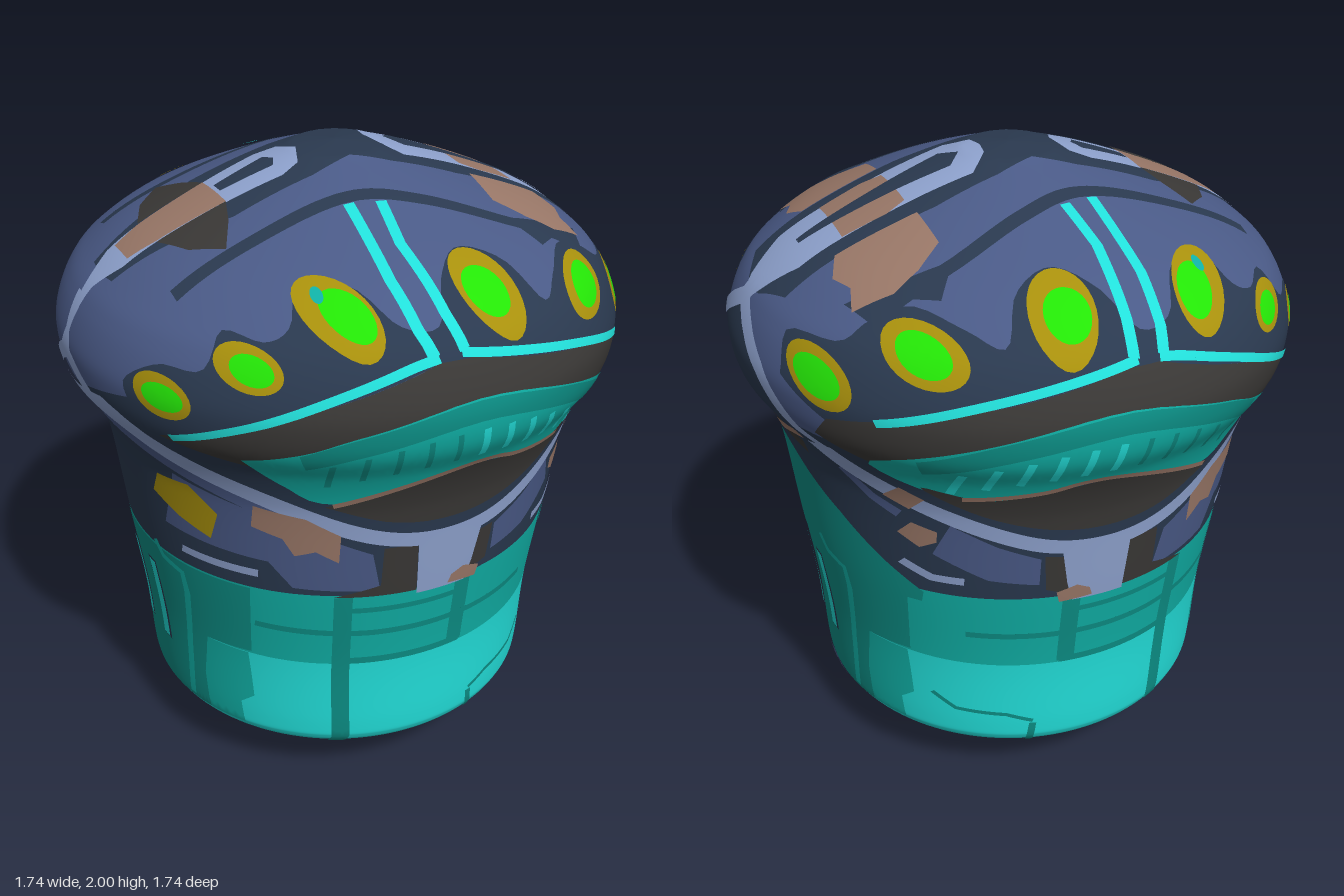
import * as THREE from 'three';

const mat = (name, color) => Object.assign(new THREE.MeshStandardMaterial({ color }), { name });
const M = {
  cyan: mat('brightCyan', 0x22dfda), teal: mat('teal', 0x10b0a6), deep: mat('deepTeal', 0x0c8f86),
  hull: mat('slateBlue', 0x4a5a87), navy: mat('darkNavy', 0x2a394f), pale: mat('paleBlue', 0x8fa3cf),
  brown: mat('brown', 0x9a7868), coal: mat('charcoal', 0x3a3836), olive: mat('olive', 0xa8900c), green: mat('green', 0x24e606),
};

// Outline of the turned body, from foot to crown: radius, height
const outline = [[0.37, 0], [0.45, 0.07], [0.53, 0.14], [0.6, 0.2], [0.634, 0.24], [0.645, 0.3], [0.66, 0.55], [0.7, 0.85], [0.73, 1.1],
  [0.75, 1.2], [0.79, 1.3], [0.846, 1.39], [0.864, 1.47], [0.858, 1.54], [0.82, 1.63], [0.76, 1.7], [0.62, 1.795], [0.38, 1.9],
  [0.16, 1.978], [0.11, 1.995], [0, 2]].map(p => new THREE.Vector2(...p));
const profile = new THREE.SplineCurve(outline).getPoints(200);

const radiusAt = y => {
  const i = profile.findIndex(p => p.y >= y);
  if (i < 0) return 0;
  if (i === 0) return profile[0].x;
  const a = profile[i - 1], b = profile[i];
  return a.x + (b.x - a.x) * (y - a.y) / (b.y - a.y || 1);
};
const crown = profile.filter(p => p.y > 1.48);
const heightAt = r => {
  const i = crown.findIndex(p => p.x <= r);
  if (i <= 0) return crown[0].y;
  const a = crown[i - 1], b = crown[i];
  return a.y + (b.y - a.y) * (r - a.x) / (b.x - a.x || 1);
};

// Point and normal on the body, lifted by a small offset
function onBody(angle, y, r, lift) {
  const lo = Math.max(y - 0.012, 0), hi = Math.min(y + 0.012, 2);
  const n = new THREE.Vector3(Math.sin(angle), -(radiusAt(hi) - radiusAt(lo)) / (hi - lo), Math.cos(angle)).normalize();
  return { n, p: new THREE.Vector3(r * Math.sin(angle), y, r * Math.cos(angle)).addScaledVector(n, lift) };
}
const arc = (u, y) => Math.asin(THREE.MathUtils.clamp(u / radiusAt(y), -1, 1));
const aroundBody = (u, v, lift) => onBody(u, v, radiusAt(v), lift);
const overCrown = (u, v, lift) => { const r = Math.hypot(u, v); return onBody(Math.atan2(u, -v), heightAt(r), r, lift); };

// Each face turns drawn points into surface coordinates
const faces = {
  front: { to: ([x, y]) => [arc(x, y), y], wrap: aroundBody },
  right: { to: ([z, y]) => [Math.PI / 2 - arc(z, y), y], wrap: aroundBody },
  left: { to: ([z, y]) => [arc(z, y) - Math.PI / 2, y], wrap: aroundBody },
  top: { to: ([x, z]) => [x, -z], wrap: overCrown },
};

// Split long edges until the patch follows the curve
function refine(a, b, c, out) {
  const l = [a.distanceTo(b), b.distanceTo(c), c.distanceTo(a)], m = Math.max(...l);
  if (m < 0.04) return out.push(a, b, c);
  if (l[1] === m) [a, b, c] = [b, c, a];
  else if (l[2] === m) [a, b, c] = [c, a, b];
  const h = a.clone().add(b).multiplyScalar(0.5);
  refine(a, h, c, out);
  refine(h, b, c, out);
}

const ellipse = (x, y, rx, ry, tilt = 0) => new THREE.EllipseCurve(x, y, rx, ry, 0, Math.PI * 2, false, tilt)
  .getPoints(28).slice(0, -1).map(p => [p.x, p.y]);
const smooth = path => new THREE.SplineCurve(path.map(p => new THREE.Vector2(...p))).getPoints(path.length * 4).map(p => [p.x, p.y]);

// Ribbon outline of even width along a path
function ribbon(path, width) {
  const side = s => path.map((p, i) => {
    const a = path[Math.max(i - 1, 0)], b = path[Math.min(i + 1, path.length - 1)];
    const dx = b[0] - a[0], dy = b[1] - a[1], k = s * width / 2 / Math.hypot(dx, dy);
    return [p[0] - dy * k, p[1] + dx * k];
  });
  return [...side(1), ...side(-1).reverse()];
}

export function createModel() {
  const model = new THREE.Group();

  // Turned body in coloured rings
  const ring = (name, material, y0, y1) => {
    const pts = [new THREE.Vector2(radiusAt(y0), y0), ...profile.filter(p => p.y > y0 + 1e-4 && p.y < y1 - 1e-4), new THREE.Vector2(radiusAt(y1), y1)];
    const mesh = new THREE.Mesh(new THREE.LatheGeometry(pts, 128), material);
    mesh.name = name;
    model.add(mesh);
  };
  ring('footRing', M.navy, 0, 0.075);
  ring('lowerBody', M.cyan, 0.075, 0.56);
  ring('upperBody', M.teal, 0.56, 0.845);
  ring('collar', M.navy, 0.845, 1.38);
  ring('dome', M.hull, 1.38, 2);
  const base = new THREE.Mesh(new THREE.CircleGeometry(0.37, 96).rotateX(Math.PI / 2), M.cyan);
  base.name = 'base';
  model.add(base);

  // Painted patch, repeated on the other half in z
  const patch = (name, material, face, layer, points) => {
    const { to, wrap } = faces[face];
    const flat = new THREE.ShapeGeometry(new THREE.Shape(points.map(p => new THREE.Vector2(...to(p)))));
    const at = flat.attributes.position, idx = flat.index.array, corners = [];
    const v = i => new THREE.Vector2(at.getX(idx[i]), at.getY(idx[i]));
    for (let i = 0; i < idx.length; i += 3) refine(v(i), v(i + 1), v(i + 2), corners);
    for (const s of [1, -1]) {
      const pos = [], nor = [];
      for (let i = 0; i < corners.length; i += 3) {
        for (const k of s > 0 ? [0, 1, 2] : [0, 2, 1]) {
          const { p, n } = wrap(corners[i + k].x, corners[i + k].y, layer * 0.0018);
          pos.push(p.x, p.y, p.z * s);
          nor.push(n.x, n.y, n.z * s);
        }
      }
      const geo = new THREE.BufferGeometry();
      geo.setAttribute('position', new THREE.Float32BufferAttribute(pos, 3));
      geo.setAttribute('normal', new THREE.Float32BufferAttribute(nor, 3));
      const mesh = new THREE.Mesh(geo, material);
      mesh.name = name;
      model.add(mesh);
    }
  };
  const line = (name, material, face, layer, width, path) => patch(name, material, face, layer, ribbon(path, width));

  // Eyes on a dark scalloped field
  patch('eyeField', M.navy, 'front', 1, [[-0.72, 1.4], [-0.5, 1.52], [-0.1, 1.64], [0, 1.64], [0.4, 1.56], [0.72, 1.46],
    ...smooth([[0.8, 1.54], [0.76, 1.65], [0.66, 1.67], [0.58, 1.72], [0.47, 1.76], [0.37, 1.73], [0.29, 1.7], [0.22, 1.79], [0.1, 1.83], [0, 1.79],
      [-0.07, 1.71], [-0.17, 1.72], [-0.24, 1.79], [-0.36, 1.8], [-0.43, 1.72], [-0.5, 1.69], [-0.58, 1.7], [-0.65, 1.61], [-0.73, 1.6], [-0.8, 1.53], [-0.79, 1.45]])]);
  const eye = (face, rim, pupil) => {
    patch('eyeRim', M.olive, face, 2, ellipse(...rim));
    patch('eye', M.green, face, 3, ellipse(...pupil));
  };
  eye('front', [-0.735, 1.52, 0.05, 0.06], [-0.735, 1.52, 0.036, 0.036]);
  eye('front', [-0.55, 1.63, 0.07, 0.056], [-0.545, 1.628, 0.045, 0.036]);
  eye('front', [0.48, 1.672, 0.094, 0.068], [0.484, 1.674, 0.06, 0.046]);
  eye('front', [0.72, 1.572, 0.06, 0.076], [0.725, 1.573, 0.043, 0.05]);
  eye('top', [-0.305, 0.625, 0.145, 0.075, 1.12], [-0.285, 0.64, 0.09, 0.05, 1.12]);
  eye('top', [0.12, 0.67, 0.128, 0.092, 1.4], [0.11, 0.678, 0.072, 0.064, 1.4]);
  patch('eyeGlint', M.teal, 'top', 4, ellipse(-0.335, 0.56, 0.016, 0.026));

  // Mouth: lip, teeth and lower jaw
  patch('lip', M.coal, 'front', 2, [[-0.74, 1.39], [-0.5, 1.52], [-0.1, 1.64], [0, 1.64], [0.4, 1.56], [0.72, 1.47], [0.74, 1.4], [0.6, 1.33], [0, 1.45], [-0.55, 1.34]]);
  patch('teeth', M.teal, 'front', 3, smooth([[-0.58, 1.37], [-0.45, 1.42], [-0.3, 1.48], [0, 1.54], [0.3, 1.49], [0.62, 1.36], [0.5, 1.26], [0.3, 1.24],
    [0, 1.3], [-0.33, 1.2], [-0.47, 1.27], [-0.58, 1.37]]));
  line('gum', M.deep, 'front', 4, 0.06, smooth([[-0.45, 1.385], [-0.3, 1.445], [0, 1.505], [0.3, 1.455], [0.52, 1.37]]));
  for (let i = 0; i < 11; i++) {
    const x = -0.38 + i * 0.08, y = 1.45 - 0.5 * x * x;
    line('toothGap', i < 5 ? M.deep : M.cyan, 'front', 5, i < 5 ? 0.016 : 0.022, [[x, y], [x + 0.012, y - 0.1]]);
  }
  patch('lowerJaw', M.coal, 'front', 4, smooth([[-0.36, 1.19], [-0.18, 1.25], [0, 1.3], [0.2, 1.27], [0.34, 1.24], [0.5, 1.27], [0.36, 1.18], [0.18, 1.12], [0, 1.1], [-0.18, 1.12], [-0.36, 1.19]]));
  line('gumEdge', M.brown, 'front', 5, 0.018, smooth([[-0.34, 1.195], [-0.15, 1.265], [0, 1.305], [0.1, 1.305], [0.2, 1.275], [0.4, 1.24]]));

  // Bright trim above the lip and over the dome
  line('trimLeft', M.cyan, 'front', 4, 0.022, smooth([[-0.72, 1.4], [-0.6, 1.475], [-0.4, 1.565], [-0.2, 1.63], [-0.1, 1.65]]));
  line('trimRight', M.cyan, 'front', 4, 0.022, smooth([[-0.035, 1.655], [0.2, 1.615], [0.4, 1.57], [0.62, 1.5]]));
  line('stripeLeft', M.cyan, 'top', 4, 0.032, [[-0.12, 0.32], [-0.14, 0.6], [-0.13, 0.74], [-0.112, 0.8]]);
  line('stripeRight', M.cyan, 'top', 4, 0.032, [[-0.03, 0.34], [-0.055, 0.5], [-0.04, 0.72], [-0.025, 0.8]]);

  // Pale band under the mouth, meeting at both sides
  line('bandShade', M.navy, 'front', 1, 0.13, [[-0.82, 1.45], [-0.7, 1.33], [-0.45, 1.2], [-0.2, 1.1], [0, 1.08], [0.2, 1.1], [0.5, 1.22], [0.72, 1.37]]);
  line('bandEdge', M.hull, 'front', 3, 0.04, smooth([[-0.84, 1.36], [-0.7, 1.255], [-0.5, 1.155], [-0.34, 1.09]]));
  line('band', M.pale, 'front', 4, 0.05, smooth([[-0.85, 1.42], [-0.7, 1.3], [-0.5, 1.2], [-0.3, 1.1], [-0.15, 1.05], [0, 1.035], [0.15, 1.05], [0.3, 1.1], [0.5, 1.19], [0.65, 1.275], [0.72, 1.335]]));
  line('bandRust', M.brown, 'front', 5, 0.06, [[0.5, 1.19], [0.56, 1.225]]);
  patch('sidePanel', M.navy, 'right', 1, [[0, 1.3], [0.42, 1.3], [0.36, 1.36], [0.2, 1.54], [0, 1.63]]);
  line('sideBand', M.pale, 'right', 4, 0.05, [[0.42, 1.31], [0.34, 1.38], [0.21, 1.52], [0.1, 1.59], [0, 1.645]]);
  patch('sideJoint', M.pale, 'right', 4, [[0, 1.62], [0.05, 1.62], [0.025, 1.7], [0.08, 1.77], [0, 1.78]]);
  line('leftBand', M.pale, 'left', 4, 0.05, [[0.14, 1.41], [0.06, 1.47], [0, 1.5]]);
  patch('leftJoint', M.pale, 'left', 4, [[0, 1.47], [0.05, 1.48], [0.015, 1.56], [0.03, 1.66], [0, 1.66]]);
  line('sideMark', M.brown, 'right', 3, 0.035, [[0.28, 1.325], [0.2, 1.305], [0.09, 1.265]]);
  line('sideMarkShade', M.coal, 'right', 2, 0.06, [[0.24, 1.25], [0.14, 1.28], [0.03, 1.31]]);
  line('sideTrim', M.hull, 'right', 2, 0.035, [[0.5, 1.13], [0.44, 1.17], [0.38, 1.25]]);

  // Collar plates
  patch('collarPlate', M.hull, 'front', 1, [[-0.68, 1.2], [-0.45, 1.12], [-0.22, 1.0], [-0.19, 0.86], [-0.42, 0.87], [-0.48, 0.96], [-0.68, 0.98]]);
  patch('collarPlateRight', M.hull, 'front', 1, [[0.18, 1.0], [0.3, 1.05], [0.42, 1.12], [0.46, 1.0], [0.32, 0.92], [0.18, 0.9]]);
  patch('clasp', M.pale, 'front', 4, [[-0.09, 1.02], [0.12, 1.02], [0.1, 0.9], [0.08, 0.83], [-0.08, 0.83]]);
  patch('claspShade', M.coal, 'front', 2, [[-0.19, 1.02], [-0.09, 1.02], [-0.08, 0.84], [-0.32, 0.84], [-0.19, 0.88]]);
  patch('claspShadeRight', M.coal, 'front', 2, [[0.1, 1.0], [0.17, 1.01], [0.16, 0.88], [0.08, 0.85]]);
  patch('claspRust', M.brown, 'front', 5, [[0.03, 0.87], [0.07, 0.89], [0.13, 0.87], [0.12, 0.83], [0.02, 0.84]]);
  patch('rustPatch', M.brown, 'front', 5, [[-0.52, 1.17], [-0.4, 1.14], [-0.31, 1.08], [-0.31, 0.98], [-0.37, 1.02], [-0.42, 1.0], [-0.45, 1.06], [-0.52, 1.09]]);
  patch('rustSpot', M.brown, 'front', 3, [[0.45, 1.09], [0.51, 1.11], [0.54, 1.06], [0.49, 1.02], [0.45, 1.05]]);
  patch('yellowPlate', M.olive, 'front', 3, [[-0.7, 1.17], [-0.65, 1.18], [-0.59, 1.1], [-0.6, 1.0], [-0.66, 1.04], [-0.7, 1.09]]);
  line('vent', M.pale, 'front', 3, 0.028, [[-0.65, 0.91], [-0.5, 0.91]]);
  line('ventRight', M.pale, 'front', 3, 0.028, [[0.38, 0.91], [0.46, 0.91], [0.53, 0.95]]);

  // Crown markings
  patch('spine', M.navy, 'top', 1, [[-0.75, 0], [-0.74, 0.08], [-0.4, 0.17], [-0.15, 0.16], [-0.02, 0.13], [0.1, 0.17], [0.3, 0.2], [0.74, 0.18], [0.79, 0.06], [0.8, 0]]);
  line('seam', M.navy, 'top', 1, 0.045, smooth([[-0.64, 0.31], [-0.4, 0.3], [-0.1, 0.29], [0.1, 0.35], [0.33, 0.43], [0.55, 0.46]]));
  patch('seamBlock', M.navy, 'top', 2, [[0.33, 0.42], [0.4, 0.52], [0.47, 0.47], [0.58, 0.46], [0.62, 0.36], [0.5, 0.4]]);
  patch('paleLoop', M.pale, 'top', 2, [[0.09, 0], [0.1, 0.06], [0.16, 0.13], [0.68, 0.12], [0.78, 0.06], [0.82, 0.02], [0.82, 0]]);
  patch('loopCore', M.navy, 'top', 4, [[0.155, 0], [0.2, 0.055], [0.4, 0.035], [0.65, 0.015], [0.65, 0]]);
  patch('loopRust', M.brown, 'top', 3, [[0.36, 0], [0.36, 0.11], [0.42, 0.13], [0.55, 0.12], [0.55, 0]]);
  patch('domeRust', M.brown, 'top', 3, [[0.35, 0.19], [0.59, 0.18], [0.62, 0.26], [0.59, 0.33], [0.61, 0.4], [0.5, 0.43], [0.42, 0.4], [0.34, 0.34]]);
  patch('paleLoopLeft', M.pale, 'top', 2, [[-0.13, 0], [-0.16, 0.08], [-0.22, 0.105], [-0.7, 0.07], [-0.78, 0.025], [-0.84, 0.012], [-0.84, 0]]);
  patch('loopCoreLeft', M.navy, 'top', 4, [[-0.2, 0], [-0.22, 0.04], [-0.38, 0.025], [-0.38, 0]]);
  patch('loopRustLeft', M.brown, 'top', 3, [[-0.39, 0], [-0.39, 0.09], [-0.6, 0.075], [-0.68, 0.055], [-0.68, 0]]);
  patch('fin', M.coal, 'top', 3, [[-0.6, 0.08], [-0.55, 0.2], [-0.47, 0.28], [-0.42, 0.18], [-0.39, 0.09]]);

  // Side panels of the lower body
  patch('sidePeak', M.deep, 'right', 2, [[0, 0.8], [0, 1.21], [0.12, 1.15], [0.3, 1.04], [0.42, 0.93], [0.51, 0.84], [0.5, 0.8]]);
  for (const face of ['right', 'left']) {
    patch('sideField', M.deep, face, 1, [[0, 0.25], [0, 0.84], [0.47, 0.84], [0.43, 0.57], [0.29, 0.56], [0.26, 0.4], [0.26, 0.25]]);
    patch('sideStep', M.teal, face, 1, [[0.29, 0.56], [0.42, 0.56], [0.42, 0.38], [0.38, 0.34], [0.38, 0.25], [0.26, 0.25], [0.26, 0.4]]);
    line('sideArch', M.teal, face, 3, 0.025, [[0.14, 0.87], [0.17, 0.82], [0.25, 0.8], [0.25, 0.72], [0.21, 0.5], [0.19, 0.27]]);
    line('slotFrame', M.navy, face, 3, 0.05, [[0.073, 0.434], [0.072, 0.755]]);
    line('slot', M.cyan, face, 4, 0.038, [[0.07, 0.44], [0.075, 0.75]]);
  }
  line('portFrame', M.navy, 'right', 2, 0.04, [[0.27, 0.075], [0.18, 0.1], [0.15, 0.2]]);
  patch('port', M.hull, 'right', 3, [[0, 0.03], [0.08, 0.05], [0.13, 0.12], [0.14, 0.2], [0.09, 0.26], [0, 0.285]]);
  patch('portCore', M.navy, 'right', 4, [[0, 0.04], [0.07, 0.07], [0.1, 0.13], [0.05, 0.16], [0, 0.12]]);

  // Panel seams of the lower body
  line('seamLong', M.deep, 'front', 2, 0.05, [[-0.29, 0.84], [-0.28, 0.5], [-0.27, 0.25], [-0.24, 0.09]]);
  line('seamShort', M.deep, 'front', 2, 0.055, [[0.08, 0.84], [0.08, 0.57]]);
  line('seamAcross', M.deep, 'front', 2, 0.022, [[-0.5, 0.7], [-0.2, 0.69], [0.1, 0.69], [0.37, 0.69]]);
  line('seamTop', M.deep, 'front', 2, 0.02, [[-0.27, 0.785], [0.1, 0.785]]);
  line('seamLow', M.deep, 'front', 2, 0.025, [[-0.27, 0.575], [0.1, 0.575]]);
  line('seamFoot', M.deep, 'front', 2, 0.022, [[0.16, 0.09], [0.17, 0.2], [0.17, 0.31]]);
  line('seamStep', M.deep, 'front', 2, 0.014, [[0.17, 0.32], [0.25, 0.35], [0.39, 0.36], [0.45, 0.41]]);
  return model;
}
